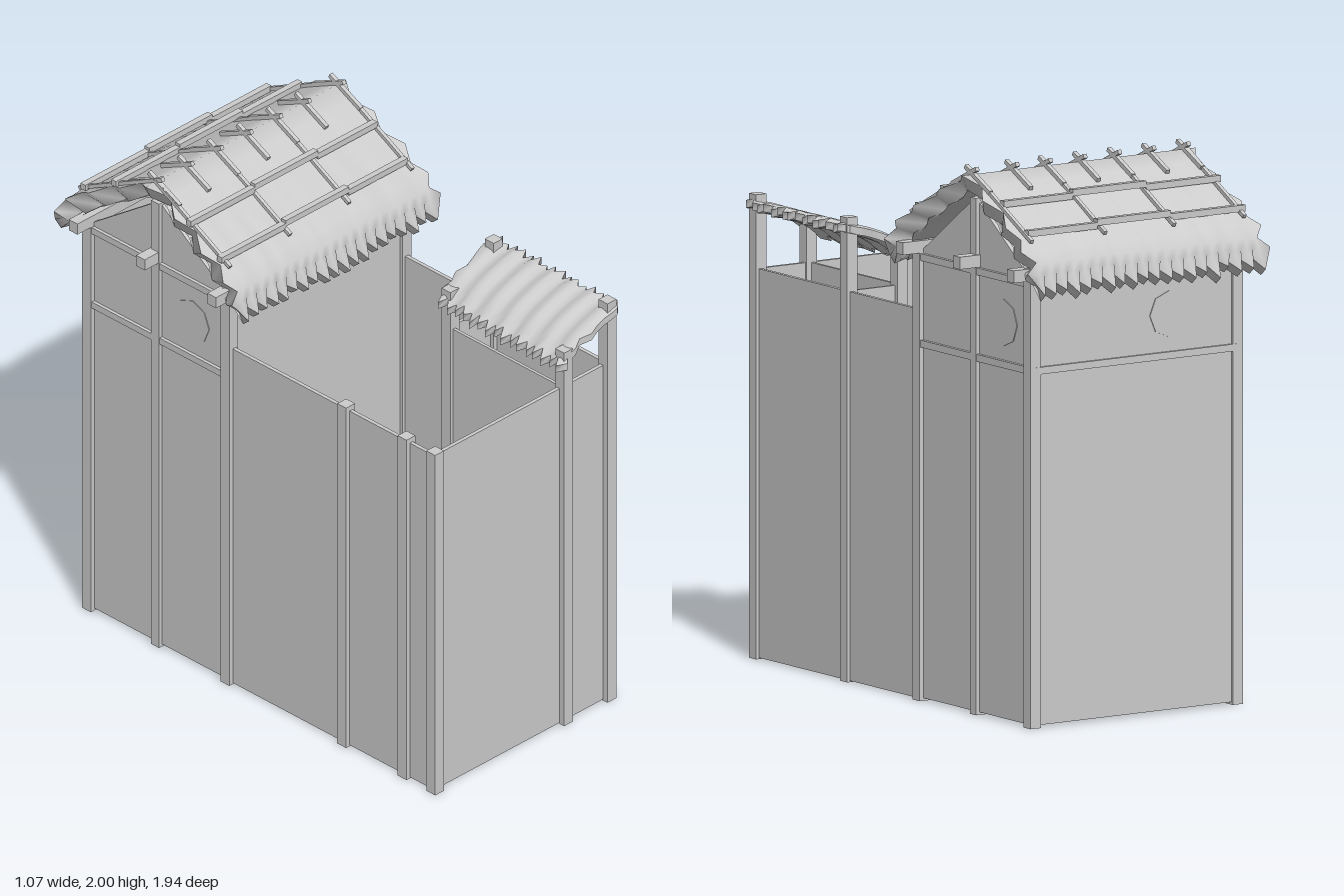
import * as THREE from 'three';
import { mergeGeometries } from 'three/addons/utils/BufferGeometryUtils.js';

const mat = new THREE.MeshStandardMaterial({ color: 0xcccccc });
const thin = new THREE.MeshStandardMaterial({ color: 0xcccccc, side: THREE.DoubleSide });

export function createModel() {
  const model = new THREE.Group();

  const add = (name, geo, material = mat) => {
    const mesh = new THREE.Mesh(geo, material);
    mesh.name = name;
    model.add(mesh);
    return mesh;
  };

  // Box given by its minimum and maximum corners
  const box = (name, x0, x1, y0, y1, z0, z1) => {
    const mesh = add(name, new THREE.BoxGeometry(x1 - x0, y1 - y0, z1 - z0));
    mesh.position.set((x0 + x1) / 2, (y0 + y1) / 2, (z0 + z1) / 2);
    return mesh;
  };
  const post = (name, x, z, top, w = 0.045) =>
    box(name, x - w / 2, x + w / 2, 0, top, z - w / 2, z + w / 2);

  // Repeatable noise from -1 to 1
  const noise = (a, b) => {
    const s = Math.sin(a * 12.99 + b * 78.23) * 43758.55;
    return (s - Math.floor(s)) * 2 - 1;
  };

  // Smooth surface through an (nu+1) x (nv+1) grid of points
  const grid = (nu, nv, f) => {
    const pos = [], idx = [];
    for (let i = 0; i <= nu; i++) for (let j = 0; j <= nv; j++) pos.push(...f(i, j));
    for (let i = 0; i < nu; i++) for (let j = 0; j < nv; j++) {
      const a = i * (nv + 1) + j, b = a + nv + 1;
      idx.push(a, a + 1, b, b, a + 1, b + 1);
    }
    const g = new THREE.BufferGeometry();
    g.setAttribute('position', new THREE.Float32BufferAttribute(pos, 3));
    g.setIndex(idx);
    g.computeVertexNormals();
    return g;
  };

  // Thick layer: f(i, j, k) with k = 0 on top and k = 1 underneath
  const slab = (name, nu, nv, f) => add(name, mergeGeometries([
    grid(nu, nv, (i, j) => f(i, j, 0)),
    grid(nv, nu, (j, i) => f(i, j, 1)),
    grid(1, nv, (k, j) => f(0, j, 1 - k)),
    grid(1, nv, (k, j) => f(nu, j, k)),
    grid(nu, 1, (i, k) => f(i, 0, 1 - k)),
    grid(nu, 1, (i, k) => f(i, nv, k)),
  ]), thin);

  // Courtyard floor and walls
  box('courtyardFloor', -0.45, 0.44, 0.005, 0.02, -0.12, 0.92);
  box('frontWall', -0.45, 0.44, 0.01, 1.42, 0.905, 0.92);
  box('leftCourtyardWall', 0.425, 0.44, 0.01, 1.42, -0.12, 0.92);
  box('rightCourtyardWall', -0.45, -0.435, 0.01, 1.42, -0.12, 0.92);
  for (const z of [0.92, 0.775, 0.47]) post('courtyardPost', -0.445, z, 1.44);

  // Corner booth under the small awning
  for (const z of [0.92, 0.345]) {
    post('boothTallPost', 0.43, z, 1.69);
    post('boothShortPost', 0.21, z, 1.58);
  }
  box('boothSideWall', 0.2, 0.212, 0.01, 1.42, 0.345, 0.92);
  box('boothBackWall', 0.21, 0.43, 0.01, 1.42, 0.34, 0.352);

  // Open tank
  const ring = new THREE.Shape([[-0.085, -0.125], [0.085, -0.125], [0.085, 0.125], [-0.085, 0.125]]
    .map(p => new THREE.Vector2(...p)));
  ring.holes.push(new THREE.Path([[-0.07, -0.11], [-0.07, 0.11], [0.07, 0.11], [0.07, -0.11]]
    .map(p => new THREE.Vector2(...p))));
  const tank = add('tank', new THREE.ExtrudeGeometry(ring, { depth: 1.22, bevelEnabled: false }));
  tank.rotation.x = -Math.PI / 2;
  tank.position.set(-0.315, 0.01, 0.145);
  box('tankBottom', -0.39, -0.24, 1.08, 1.1, 0.03, 0.26);

  // Tower walls, with gables on the two sides
  box('towerFrontWall', -0.44, 0.43, 0.01, 1.63, -0.125, -0.11);
  box('towerBackWall', -0.44, 0.43, 0.01, 1.63, -0.835, -0.82);
  const gable = new THREE.Shape([[0.12, 0.01], [0.82, 0.01], [0.82, 1.63], [0.47, 1.88], [0.12, 1.63]]
    .map(p => new THREE.Vector2(...p)));
  for (const x of [-0.45, 0.425]) {
    const wall = add('towerGableWall', new THREE.ExtrudeGeometry(gable, { depth: 0.015, bevelEnabled: false }));
    wall.rotation.y = Math.PI / 2;
    wall.position.x = x;
  }

  // Tower posts, rails and crossbeams
  for (const x of [-0.445, 0.435]) {
    post('towerFrontPost', x, -0.12, 1.63);
    post('towerBackPost', x, -0.82, 1.63);
    post('kingPost', x, -0.475, 1.88, 0.04);
    for (const y of [1.3, 1.615])
      box('sideRail', x - 0.018, x + 0.018, y - 0.013, y + 0.013, -0.82, -0.12);
  }
  box('backRail', -0.445, 0.435, 1.287, 1.313, -0.845, -0.82);
  for (const z of [-0.12, -0.48, -0.82])
    box('crossbeam', -0.535, 0.53, 1.63, 1.675, z - 0.022, z + 0.022);

  // Eight-sided window plates
  const plate = (x, z, turn) => {
    const mesh = add('windowPlate', new THREE.CylinderGeometry(0.085, 0.085, 0.006, 8).rotateX(Math.PI / 2));
    mesh.position.set(x, 1.45, z);
    mesh.rotation.y = turn;
  };
  plate(0.44, -0.65, Math.PI / 2);
  plate(-0.45, -0.3, Math.PI / 2);
  plate(-0.15, -0.835, 0);

  // Thatched roof with ragged eaves and ends
  const profile = pts => new THREE.CatmullRomCurve3(pts.map(([d, y]) => new THREE.Vector3(d, y, 0)));
  const roofLayers = [
    profile([[0, 1.965], [0.16, 1.885], [0.32, 1.795], [0.43, 1.715], [0.46, 1.635]]),
    profile([[0, 1.91], [0.13, 1.83], [0.25, 1.76], [0.35, 1.68], [0.43, 1.61]]),
  ];
  const NX = 40, NZ = 18;
  slab('thatchedRoof', NX, NZ, (i, j, k) => {
    const v = j / NZ * 2 - 1, u = i / NX * 2 - 1;
    const p = roofLayers[k].getPoint(Math.abs(v));
    const eave = j === 0 || j === NZ, end = i === 0 || i === NX;
    const tooth = eave && i % 2 ? 0.03 + 0.012 * noise(i, v) : 0;
    const half = 0.48 + 0.025 * Math.abs(v)
      + (end ? (j % 2 ? 0.025 : -0.015) + 0.008 * noise(j, u) - 0.025 * k : 0);
    const ripple = 0.008 * noise(i, 3) * Math.abs(v);
    return [u * half, p.y + ripple - tooth, -0.475 + Math.sign(v) * (p.x + tooth - (eave && !(i % 2) ? 0.025 : 0))];
  });

  // Battens along the roof and sticks crossing at the ridge
  const stick = (name, x, s, d0, y0, d1, y1, w) => {
    const mesh = add(name, new THREE.BoxGeometry(w, w, Math.hypot(d1 - d0, y1 - y0)));
    mesh.position.set(x, (y0 + y1) / 2, -0.475 + s * (d0 + d1) / 2);
    mesh.rotation.x = s * Math.atan2(y0 - y1, d1 - d0);
  };
  for (const s of [-1, 1]) {
    for (const [d, y] of [[0.19, 1.885], [0.345, 1.8]]) {
      const z = -0.475 + s * d;
      box('batten', -0.485, -0.16, y - 0.012, y + 0.012, z - 0.012, z + 0.012);
      box('batten', -0.16, 0.16, y, y + 0.024, z - 0.012, z + 0.012);
      box('batten', 0.16, 0.46, y - 0.012, y + 0.012, z - 0.012, z + 0.012);
    }
    for (const x of [-0.46, -0.31, -0.16, -0.01, 0.14, 0.285, 0.46])
      stick('ridgeStick', x, s, -0.035, 1.99, 0.12, 1.915, 0.016);
    for (const x of [-0.465, -0.16, 0.14, 0.46])
      stick('rafter', x, s, 0, 1.975, 0.38, 1.775, 0.014);
  }

  // Ragged awning over the booth
  const awning = profile([[0.46, 1.665], [0.36, 1.64], [0.26, 1.6], [0.18, 1.54]]);
  const AZ = 32, AX = 8;
  slab('awning', AX, AZ, (i, j, k) => {
    const p = awning.getPoint(i / AX), edge = i === 0 ? 1 : i === AX ? -1 : 0;
    const tooth = j % 2 ? 0.02 + 0.008 * noise(j, i) : -0.012;
    const end = j === 0 || j === AZ ? (j ? 1 : -1) * 0.015 * noise(i, j) : 0;
    return [
      p.x + edge * tooth,
      p.y + 0.008 * Math.sin(j * 1.3) - k * 0.028 - (edge < 0 ? tooth * 0.4 : 0),
      0.315 + 0.635 * j / AZ + end,
    ];
  });

  return model;
}
